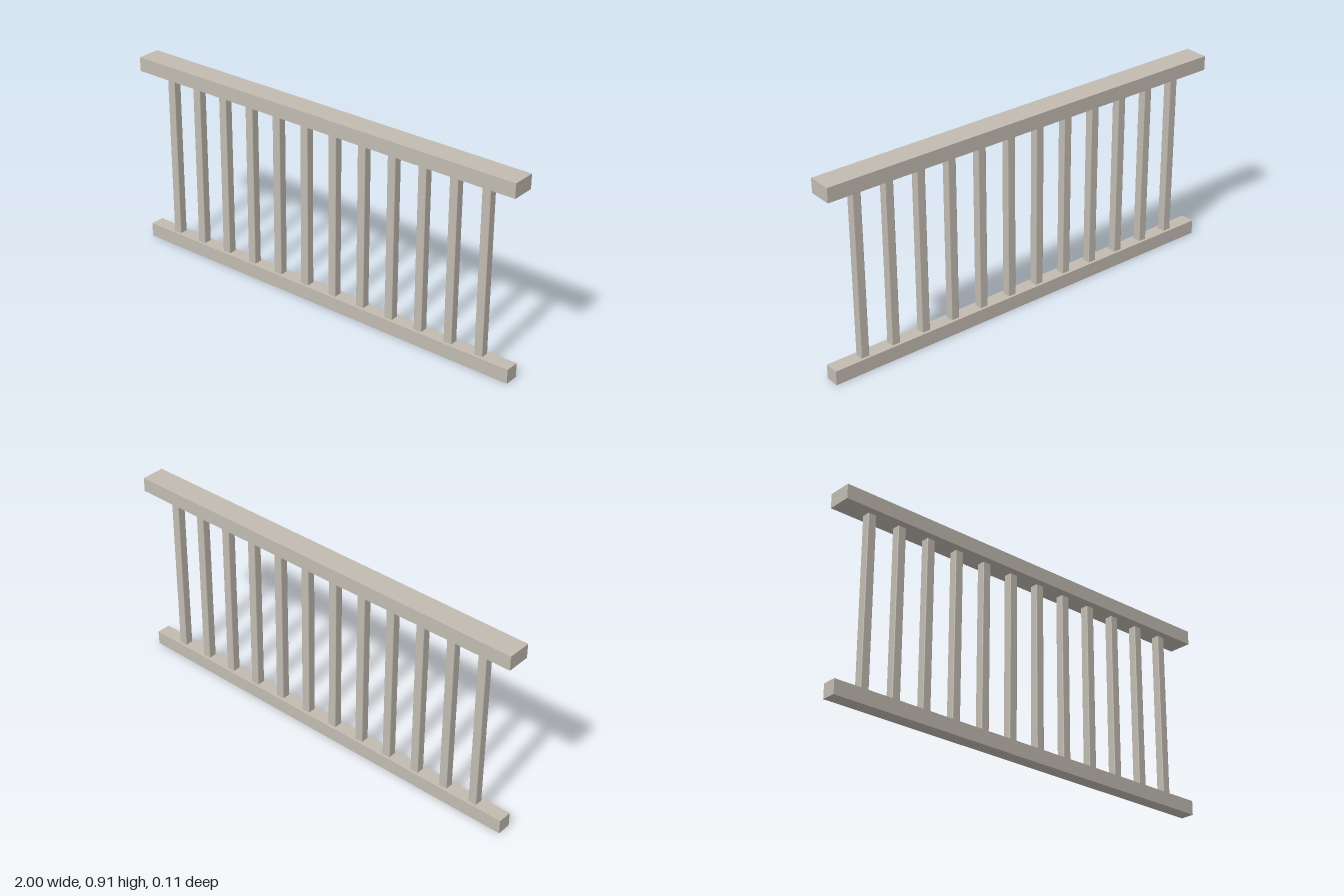
import * as THREE from 'three';

export function createModel() {
  const group = new THREE.Group();
  const paint = new THREE.MeshStandardMaterial({ color: 0xc1bbb1 });
  paint.name = 'warm grey paint';

  const railHeight = 0.066, topY = 0.912;

  // Horizontal rails
  const addRail = (name, depth, y) => {
    const rail = new THREE.Mesh(new THREE.BoxGeometry(2, railHeight, depth), paint);
    rail.name = name;
    rail.position.y = y;
    group.add(rail);
  };
  addRail('topRail', 0.11, topY - railHeight / 2);
  addRail('bottomRail', 0.066, railHeight / 2);

  // Square baluster section with slightly eased corners
  const h = 0.02, r = 0.004;
  const section = new THREE.Shape();
  section.absarc(h - r, h - r, r, 0, Math.PI / 2);
  section.absarc(r - h, h - r, r, Math.PI / 2, Math.PI);
  section.absarc(r - h, r - h, r, Math.PI, Math.PI * 1.5);
  section.absarc(h - r, r - h, r, Math.PI * 1.5, Math.PI * 2);
  const balusterGeometry = new THREE.ExtrudeGeometry(section, {
    depth: topY - 2 * railHeight, bevelEnabled: false, curveSegments: 3,
  });
  balusterGeometry.rotateX(-Math.PI / 2);

  // Twelve balusters dividing the length into thirteen equal bays
  const count = 12;
  for (let i = 1; i <= count; i++) {
    const baluster = new THREE.Mesh(balusterGeometry, paint);
    baluster.name = `baluster${i}`;
    baluster.position.set(-1 + (2 * i) / (count + 1), railHeight, 0);
    group.add(baluster);
  }
  return group;
}
